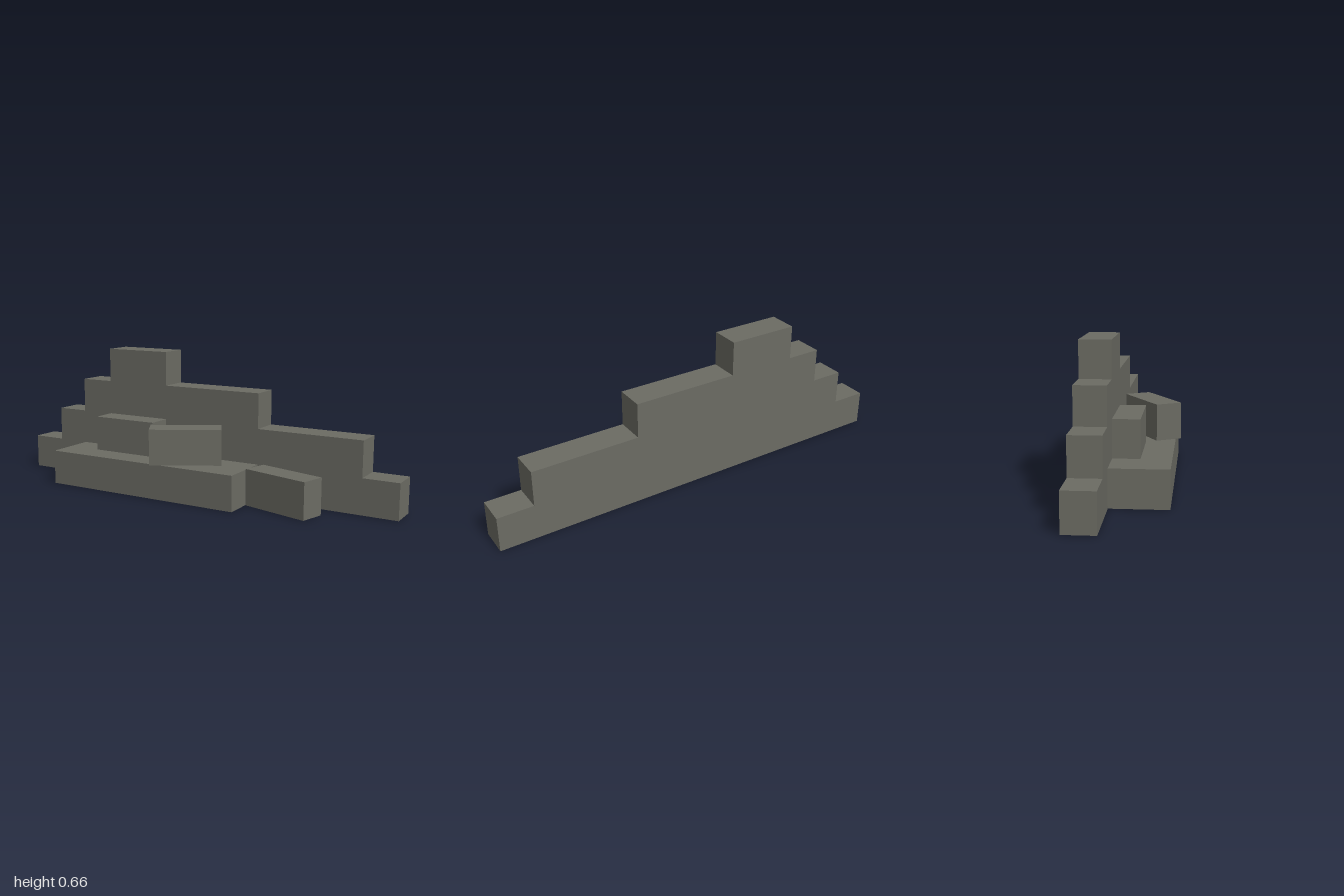
import * as THREE from 'three';

export function createModel() {
  const group = new THREE.Group();
  group.name = 'ruinedWall';
  const stone = new THREE.MeshStandardMaterial({ color: 0x6b6b63 });
  stone.name = 'greyStone';

  // Stepped wall: one silhouette, extruded through its thickness
  const outline = [
    [-1, 0], [1, 0], [1, 0.166], [0.833, 0.166], [0.833, 0.332], [0.33, 0.332],
    [0.33, 0.497], [-0.17, 0.497], [-0.17, 0.66], [-0.503, 0.66], [-0.503, 0.497],
    [-0.67, 0.497], [-0.67, 0.332], [-0.83, 0.332], [-0.83, 0.166], [-1, 0.166],
  ].map(([x, y]) => new THREE.Vector2(x, y));
  const wall = new THREE.Mesh(
    new THREE.ExtrudeGeometry(new THREE.Shape(outline), { depth: 0.137, bevelEnabled: false }),
    stone,
  );
  wall.name = 'steppedWall';
  wall.position.z = -0.205;
  group.add(wall);

  // Stone block standing on height y, turned about the vertical
  function block(name, [w, h, d], [x, y, z], degrees = 0) {
    const mesh = new THREE.Mesh(new THREE.BoxGeometry(w, h, d), stone);
    mesh.name = name;
    mesh.position.set(x, y + h / 2, z);
    mesh.rotation.y = THREE.MathUtils.degToRad(degrees);
    group.add(mesh);
  }

  // Ledge in front of the wall and the blocks lying around it
  block('ledge', [1, 0.165, 0.25], [-0.17, 0, 0.057]);
  block('ledgeBlock', [0.333, 0.167, 0.118], [-0.337, 0.165, -0.009]);
  block('fallenBlockOnLedge', [0.333, 0.167, 0.125], [0.024, 0.165, 0.068], 30);
  block('fallenBlockOnGround', [0.333, 0.169, 0.12], [0.507, 0, 0.036], -15);

  return group;
}
